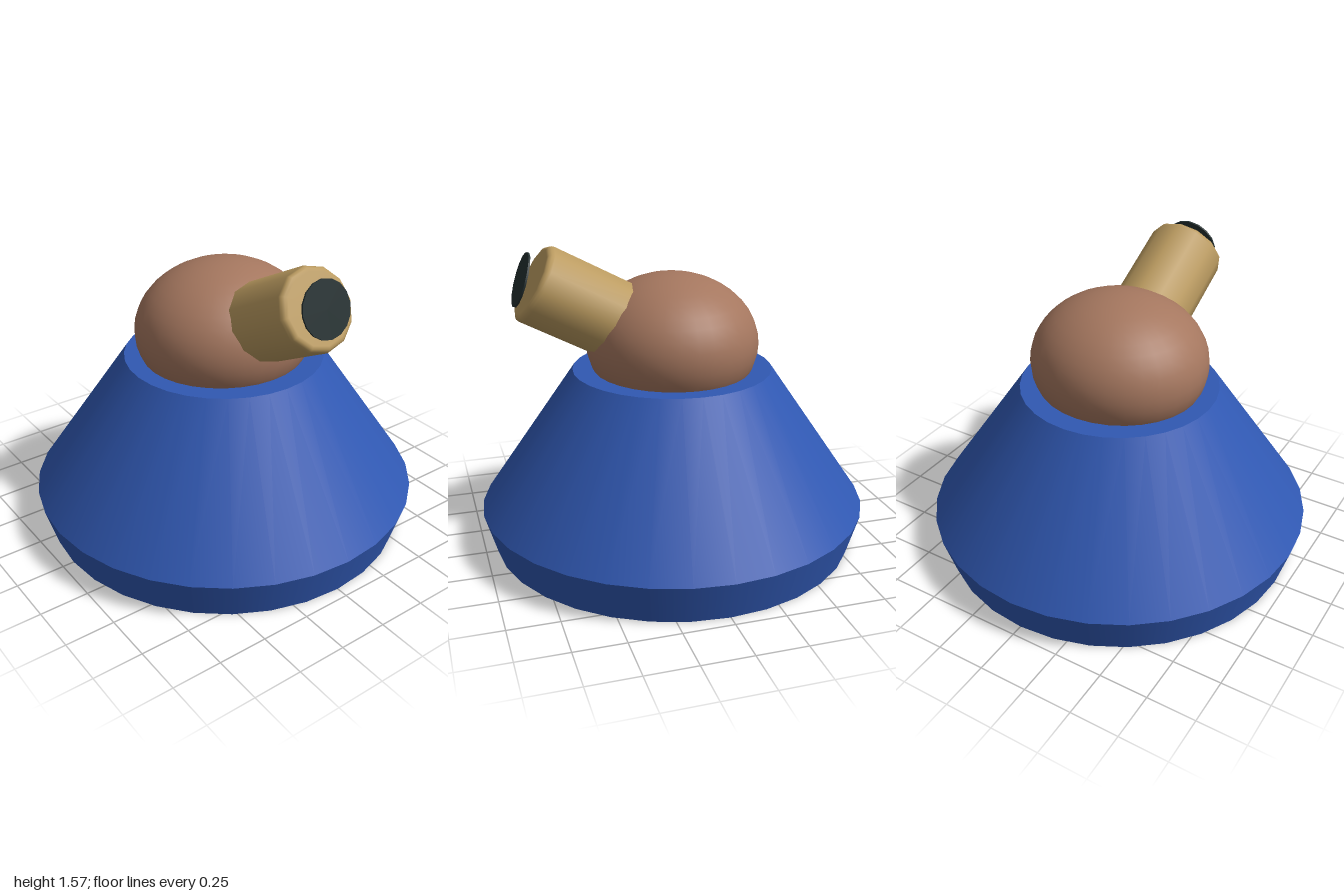
import * as THREE from 'three';

function material(name, color) {
  const m = new THREE.MeshStandardMaterial({ color });
  m.name = name;
  return m;
}

export function createModel() {
  const model = new THREE.Group();
  const blue = material('blue', 0x3058b2);
  const brown = material('brown', 0xa5775f);
  const tan = material('tan', 0xbb9b60);
  const dark = material('dark glass', 0x232f30);

  function add(name, geometry, mat, y = 0, z = 0, tilt = 0) {
    const mesh = new THREE.Mesh(geometry, mat);
    mesh.name = name;
    mesh.position.set(0, y, z);
    mesh.rotation.x = tilt;
    model.add(mesh);
    return mesh;
  }

  // Flared foot and sloping body
  add('baseFoot', new THREE.CylinderGeometry(1, 0.94, 0.205, 32), blue, 0.1025);
  add('baseBody', new THREE.CylinderGeometry(0.51, 1, 0.715, 32), blue, 0.5625);

  // Flattened ball turret
  const ball = add('turretBall', new THREE.SphereGeometry(1, 32, 20), brown, 1.055);
  ball.scale.set(0.457, 0.352, 0.437);

  // Barrel tilted upwards; its local +y axis points out of the front
  const elevation = THREE.MathUtils.degToRad(28);
  const r = 0.2, bevel = 0.03, length = 0.72;
  const profile = [new THREE.Vector2(0, -length), new THREE.Vector2(r, -length), new THREE.Vector2(r, -length)];
  for (let i = 0; i <= 3; i++) {
    const a = (i / 3) * Math.PI / 2;
    profile.push(new THREE.Vector2(r - bevel + bevel * Math.cos(a), -bevel + bevel * Math.sin(a)));
  }
  profile.push(new THREE.Vector2(0, 0));
  add('barrel', new THREE.LatheGeometry(profile, 12), tan, 1.405, 0.705, Math.PI / 2 - elevation);

  // Thin dark disc held just ahead of the muzzle
  const lensTilt = Math.PI / 2 - THREE.MathUtils.degToRad(18.4);
  add('muzzleDisc', new THREE.CylinderGeometry(0.136, 0.136, 0.009, 16), dark, 1.418, 0.752, lensTilt);

  return model;
}
